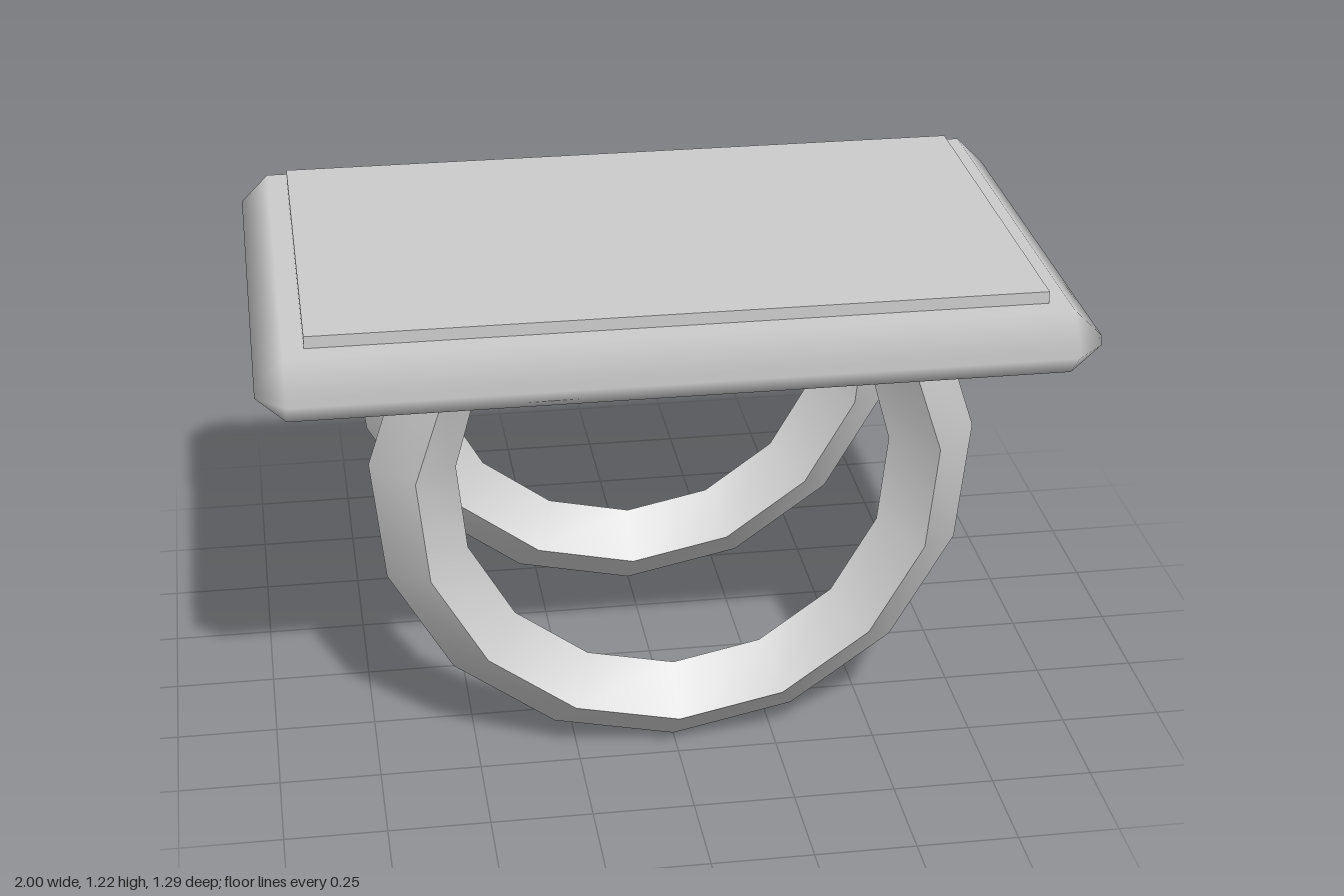
import * as THREE from 'three';
import { toCreasedNormals } from 'three/addons/utils/BufferGeometryUtils.js';

// Bevelled slab: four stacked eight-point rings with normals that blend round the rim
function slabGeometry() {
  const inner = [0.93, 0.58], outer = [1.0, 0.645];
  const signs = [[1, 1], [-1, 1], [-1, -1], [1, -1]];
  const pos = [], nor = [], idx = [];
  const levels = [[1.03, -1], [1.095, 0], [1.12, 0], [1.19, 1]];
  for (const [y, ny] of levels) {
    signs.forEach(([sx, sz], k) => {
      const order = k % 2 === 0 ? ['x', 'z'] : ['z', 'x'];
      for (const side of order) {
        const rim = ny === 0;
        const x = sx * (rim && side === 'x' ? outer[0] : inner[0]);
        const z = sz * (rim && side === 'z' ? outer[1] : inner[1]);
        pos.push(x, y, z);
        nor.push(rim && side === 'x' ? sx : 0, ny, rim && side === 'z' ? sz : 0);
      }
    });
  }
  for (let r = 0; r < 3; r++) {
    for (let i = 0; i < 8; i++) {
      const j = (i + 1) % 8, a = r * 8 + i, b = a + 8, c = r * 8 + j, d = c + 8;
      const corner = i % 2 === 0;
      if (!(corner && r === 2)) idx.push(b, d, c);
      else idx.push(a, b, c);
      if (!corner || r === 1) idx.push(a, b, c);
    }
  }
  idx.push(0, 2, 4, 0, 4, 6, 24, 28, 26, 24, 30, 28); // bottom and top faces
  const g = new THREE.BufferGeometry();
  g.setAttribute('position', new THREE.Float32BufferAttribute(pos, 3));
  g.setAttribute('normal', new THREE.Float32BufferAttribute(nor, 3));
  // rings run from +x towards +z
  g.setIndex(idx);
  return g;
}

// Open hoop with a diamond section; its ends are buried in the slab
function hoopGeometry() {
  const g = new THREE.TorusGeometry(0.64, 0.105, 4, 10, Math.PI * 4 / 3);
  g.rotateZ(-Math.PI * 7 / 6);
  g.translate(0, 0.745, 0);
  const p = g.attributes.position;
  for (let i = 0; i < p.count; i++) {
    if (p.getY(i) > 0.98) p.setY(i, Math.max(p.getY(i), 1.05));
  }
  return toCreasedNormals(g, Math.PI / 6);
}

export function createModel() {
  const model = new THREE.Group();
  model.name = 'table';
  const grey = new THREE.MeshStandardMaterial({ color: 0xcccccc });
  grey.name = 'light grey';

  const add = (name, geometry, x = 0, y = 0, z = 0) => {
    const mesh = new THREE.Mesh(geometry, grey);
    mesh.name = name;
    mesh.position.set(x, y, z);
    model.add(mesh);
  };

  add('tableTop', slabGeometry());
  add('topPanel', new THREE.BoxGeometry(1.76, 0.04, 1.06), 0, 1.2, 0);

  // Front and back hoop legs
  const hoop = hoopGeometry();
  add('frontHoopLeg', hoop, 0, 0, 0.413);
  add('backHoopLeg', hoop, 0, 0, -0.413);
  return model;
}
